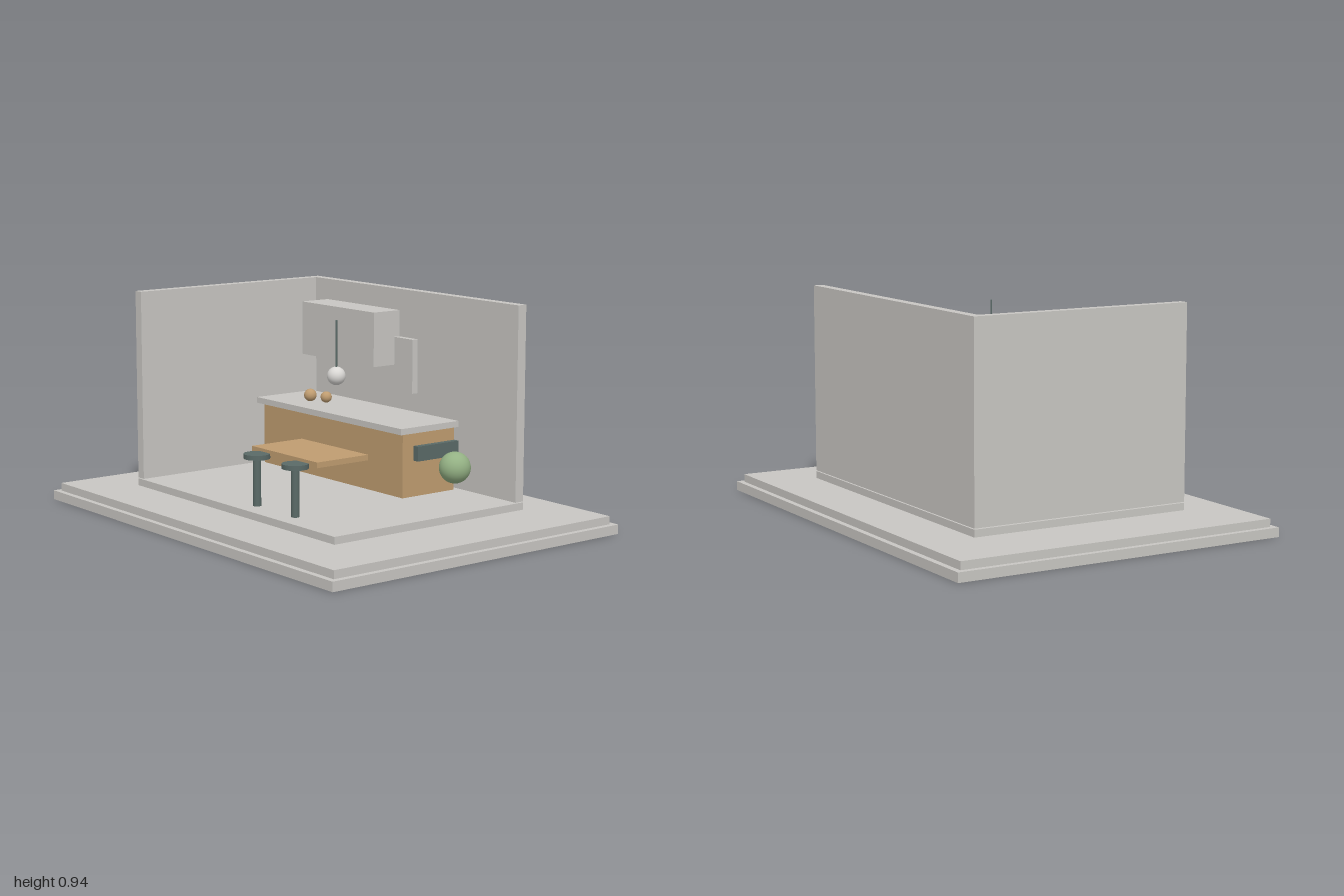
import * as THREE from 'three';

const material = (name, color) => Object.assign(new THREE.MeshStandardMaterial({ color }), { name });

export function createModel() {
  const grey = material('warm grey', 0xc8c6c2);
  const wood = material('light wood', 0xbf9c70);
  const slate = material('dark slate', 0x5a6a67);
  const green = material('leaf green', 0x94b184);
  const white = material('lamp white', 0xdad8d5);

  const model = new THREE.Group();
  model.name = 'kitchenRoom';

  const add = (parent, name, geometry, mat, x, y, z) => {
    const mesh = new THREE.Mesh(geometry, mat);
    mesh.name = name;
    mesh.position.set(x, y, z);
    parent.add(mesh);
    return mesh;
  };
  // Box given by its limits on each axis
  const box = (name, mat, [x0, x1], [y0, y1], [z0, z1]) =>
    add(model, name, new THREE.BoxGeometry(x1 - x0, y1 - y0, z1 - z0), mat,
      (x0 + x1) / 2, (y0 + y1) / 2, (z0 + z1) / 2);
  const ball = (name, mat, r, x, y, z) =>
    add(model, name, new THREE.SphereGeometry(r, 32, 20), mat, x, y, z);

  // Stepped plinth and room shell
  box('plinthBase', grey, [-1, 1], [0, 0.04], [-0.745, 0.745]);
  box('plinthStep', grey, [-0.975, 0.975], [0.04, 0.074], [-0.72, 0.72]);
  box('floor', grey, [-0.694, 0.694], [0.082, 0.113], [-0.497, 0.496]);
  box('backWall', grey, [-0.694, 0.694], [0.117, 0.937], [-0.497, -0.454]);
  box('sideWall', grey, [-0.694, -0.651], [0.117, 0.937], [-0.497, 0.496]);

  // Counter with a slate unit on its end
  box('counterBase', wood, [-0.627, 0.343], [0.117, 0.39], [-0.423, -0.14]);
  box('counterTop', grey, [-0.65, 0.362], [0.39, 0.416], [-0.43, -0.115]);
  box('counterEndUnit', slate, [0.343, 0.37], [0.27, 0.333], [-0.425, -0.2]);

  // Wall cabinet and wall panel
  box('wallCabinet', grey, [-0.566, -0.056], [0.606, 0.844], [-0.455, -0.309]);
  box('wallPanel', grey, [-0.24, 0.066], [0.493, 0.729], [-0.455, -0.425]);

  // Fruit on the counter, and a round plant
  ball('fruitLarge', wood, 0.028, -0.4, 0.447, -0.227);
  ball('fruitSmall', wood, 0.025, -0.343, 0.441, -0.272);
  ball('plant', green, 0.066, 0.54, 0.266, -0.255);

  // Table top and two stools
  box('tableTop', wood, [-0.022, 0.42], [0.322, 0.345], [0.108, 0.368]);
  for (const x of [0.068, 0.328]) {
    const stool = new THREE.Group();
    stool.name = 'stool';
    stool.position.set(x, 0, 0.408);
    add(stool, 'seat', new THREE.CylinderGeometry(0.055, 0.055, 0.02, 24), slate, 0, 0.322, 0);
    add(stool, 'stem', new THREE.CylinderGeometry(0.017, 0.017, 0.2, 16), slate, 0, 0.212, 0);
    model.add(stool);
  }

  // Pendant lamp
  ball('lampGlobe', white, 0.038, 0.255, 0.651, 0.142);
  add(model, 'lampCord', new THREE.CylinderGeometry(0.004, 0.004, 0.2, 10), slate, 0.255, 0.779, 0.142);

  return model;
}
